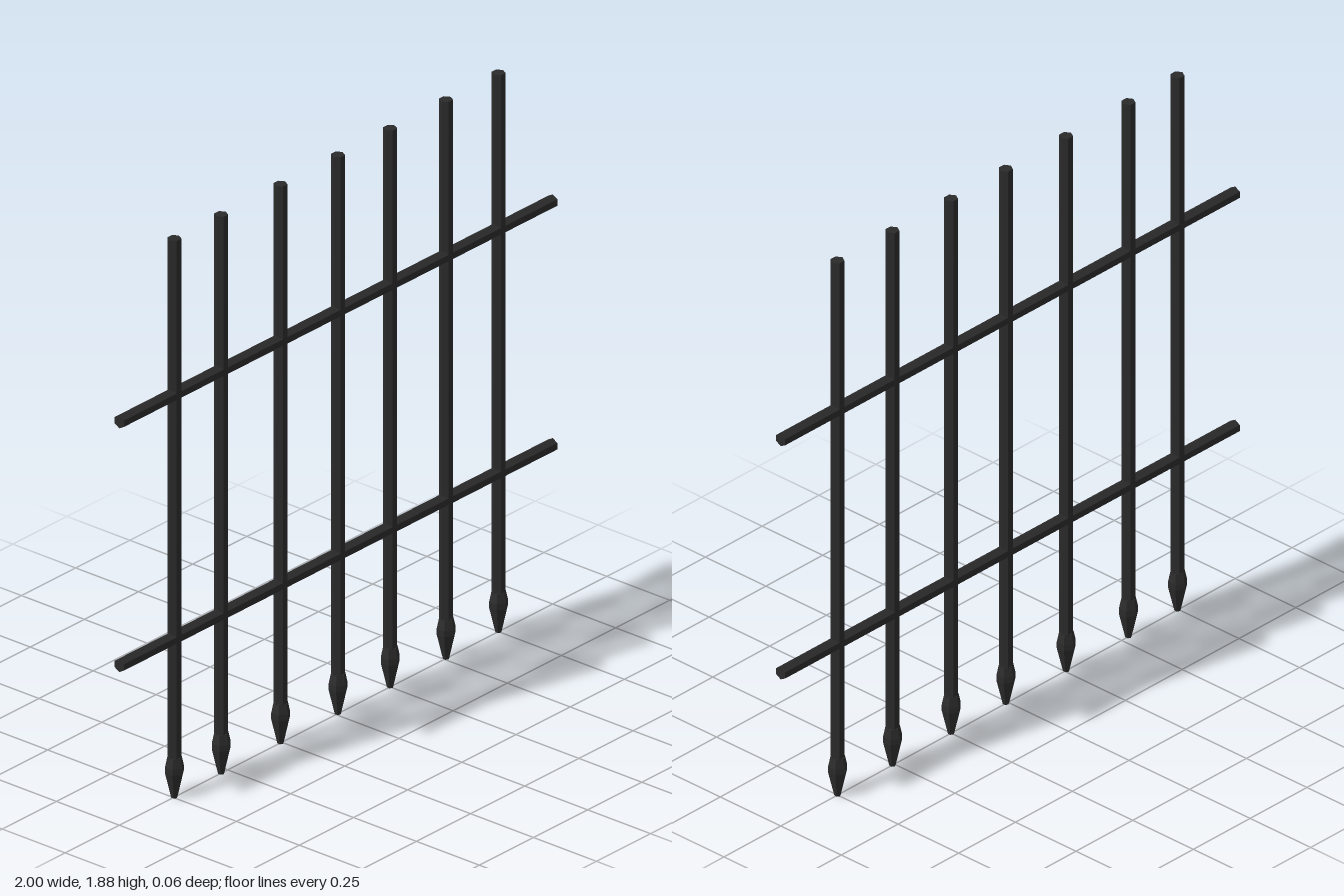
import * as THREE from 'three';

export function createModel() {
  const group = new THREE.Group();
  const iron = new THREE.MeshStandardMaterial({ color: 0x2b2b2c, flatShading: true });
  iron.name = 'dark iron';

  const add = (name, geometry, x, y) => {
    const mesh = new THREE.Mesh(geometry, iron);
    mesh.name = name;
    mesh.position.set(x, y, 0);
    group.add(mesh);
  };

  // Hexagonal rod with corners toward +x and -x
  const rod = (length) => new THREE.CylinderGeometry(0.0215, 0.0215, length, 6, 1, false, Math.PI / 6);

  // Uprights and their downward spear tips, slightly unevenly spaced
  const top = 1.875, bottom = 0.12;
  const barGeometry = rod(top - bottom);
  const tipProfile = [[0, 0], [0.01, 0], [0.03, 0.085], [0.03, 0.105], [0.023, 0.137], [0, 0.137]]
    .map(([r, y]) => new THREE.Vector2(r, y));
  const tipGeometry = new THREE.LatheGeometry(tipProfile, 6);
  [-0.746, -0.53, -0.256, 0.009, 0.25, 0.508, 0.75].forEach((x, i) => {
    add(`bar${i + 1}`, barGeometry, x, (top + bottom) / 2);
    add(`spearTip${i + 1}`, tipGeometry, x, 0);
  });

  // Horizontal rails
  const railGeometry = rod(2).rotateZ(Math.PI / 2);
  add('lowerRail', railGeometry, 0, 0.535);
  add('upperRail', railGeometry, 0, 1.352);

  return group;
}
